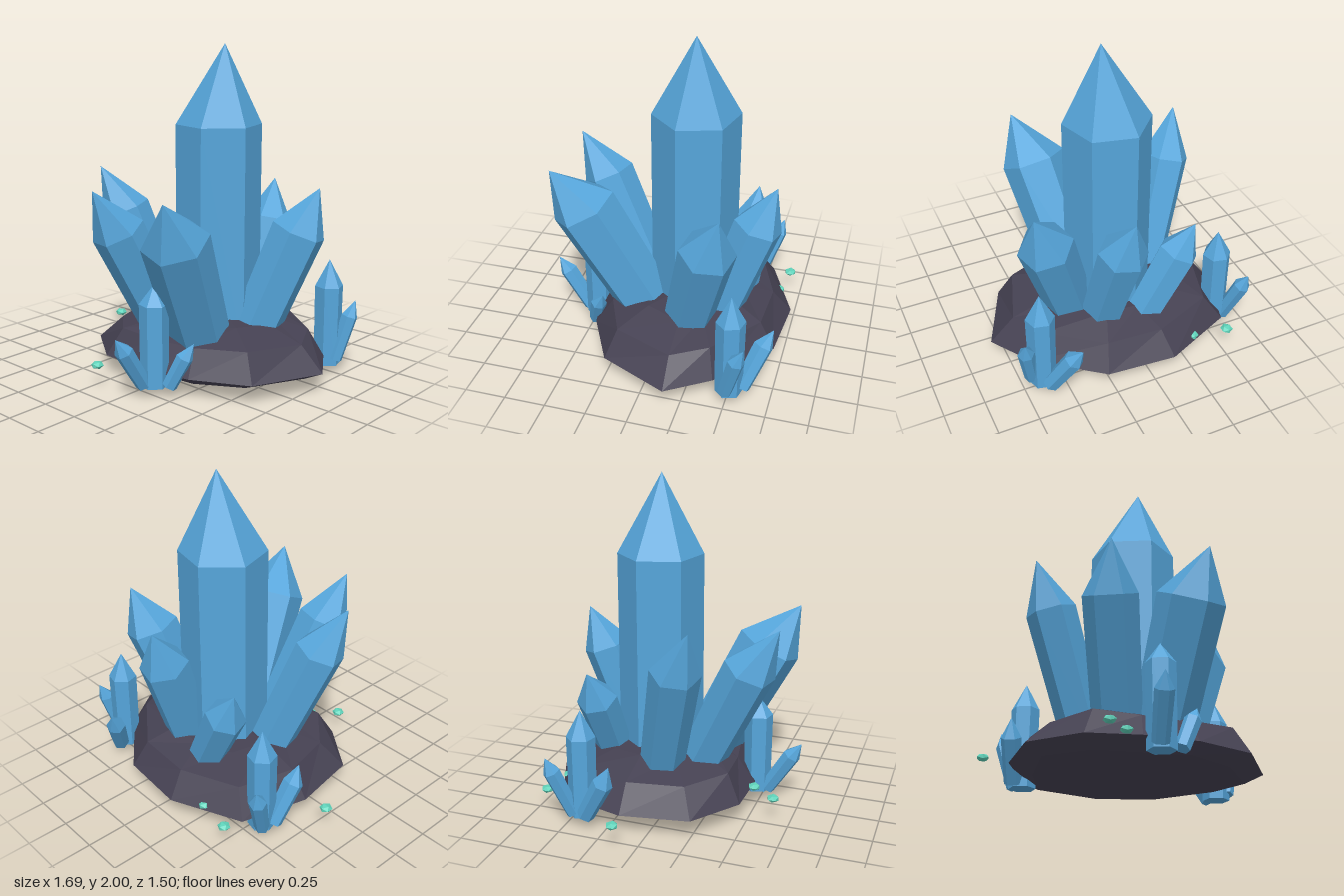
import * as THREE from 'three';

const mat = (name, color) => {
  const m = new THREE.MeshStandardMaterial({ color, flatShading: true });
  m.name = name;
  return m;
};

// Six-sided crystal: straight shaft from foot to shoulder, point pulled to a free tip
function crystal(name, material, foot, shoulder, tip, r, taper = 0.88) {
  const a = new THREE.Vector3(...foot);
  const dir = new THREE.Vector3(...shoulder).sub(a);
  const len = dir.length();
  const q = new THREE.Quaternion().setFromUnitVectors(new THREE.Vector3(0, 1, 0), dir.normalize());
  const apex = new THREE.Vector3(...tip).sub(a).applyQuaternion(q.clone().invert());
  const profile = [[0, 0], [r * taper, 0], [r, len], [0, len + 1]].map(p => new THREE.Vector2(...p));
  const geo = new THREE.LatheGeometry(profile, 6, 0.3);
  const pos = geo.attributes.position;
  for (let i = 3; i < pos.count; i += 4) pos.setXYZ(i, apex.x, apex.y, apex.z);
  geo.computeVertexNormals();
  const mesh = new THREE.Mesh(geo, material);
  mesh.name = name;
  mesh.position.copy(a);
  mesh.quaternion.copy(q);
  return mesh;
}

// Faceted rock: one irregular outline scaled into stacked rings
function rock(material) {
  const cx = 0.07, cz = -0.15;
  const outline = [[-0.13, -0.745], [0.29, -0.71], [0.67, -0.42], [0.84, -0.165], [0.65, 0.25], [0.32, 0.42],
    [0, 0.48], [-0.31, 0.47], [-0.6, 0.26], [-0.67, -0.15], [-0.56, -0.56]];
  const rings = [[0, 0], [0.5, 0.025], [0.84, 0.068], [1, 0.128], [0.83, 0.282], [0.5, 0.345], [0, 0.36]];
  const n = outline.length, verts = [], index = [];
  rings.forEach(([s, y], i) => outline.forEach(([x, z], j) => {
    const bump = s > 0 && s < 1 ? Math.sin(j * 2.4 + i) : 0;
    const k = s * (1 + 0.035 * bump);
    verts.push(cx + (x - cx) * k, y + 0.012 * bump * (i > 3 ? 1 : 0.3), cz + (z - cz) * k);
  }));
  for (let i = 0; i < rings.length - 1; i++) {
    for (let j = 0; j < n; j++) {
      const a = i * n + j, b = i * n + (j + 1) % n, c = a + n, d = b + n;
      if (rings[i][0] > 0) index.push(b, a, c);
      if (rings[i + 1][0] > 0) index.push(b, c, d);
    }
  }
  const geo = new THREE.BufferGeometry();
  geo.setAttribute('position', new THREE.Float32BufferAttribute(verts, 3));
  geo.setIndex(index);
  geo.computeVertexNormals();
  const mesh = new THREE.Mesh(geo, material);
  mesh.name = 'rockBase';
  return mesh;
}

export function createModel() {
  const root = new THREE.Group();
  root.name = 'crystalCluster';
  const blue = mat('crystalBlue', 0x55a5da);
  const stone = mat('darkStone', 0x454152);
  const teal = mat('tealGem', 0x5fd3ba);

  root.add(rock(stone));

  // Large crystals: name, foot, shoulder, tip, radius, taper
  const large = [
    ['mainCrystal', [0.05, 0.15, -0.15], [0.05, 1.52, -0.15], [0.09, 2, -0.155], 0.262, 1],
    ['frontRightCrystal', [-0.07, 0.15, 0.1], [-0.18, 0.93, 0.48], [-0.2, 1.19, 0.655], 0.16],
    ['frontLeftCrystal', [0.15, 0.15, 0.08], [0.28, 0.94, 0.48], [0.355, 1.19, 0.655], 0.2],
    ['rightCrystal', [-0.21, 0.15, -0.07], [-0.48, 0.97, 0.13], [-0.585, 1.24, 0.24], 0.15],
    ['leftCrystal', [0.28, 0.15, -0.15], [0.52, 0.9, -0.34], [0.61, 1.16, -0.42], 0.168],
    ['backCrystal', [0.18, 0.15, -0.3], [0.13, 0.88, -0.55], [0.1, 1.13, -0.65], 0.15],
    ['backRightCrystal', [-0.02, 0.15, -0.41], [-0.29, 0.67, -0.44], [-0.385, 0.86, -0.46], 0.125],
  ];
  // Small upright crystals around the rim
  const rim = [
    ['rightRimCrystal', -0.575, -0.42, 0.71],
    ['leftRimCrystal', 0.635, -0.51, 0.71],
    ['frontRimCrystal', 0.1, 0.47, 0.66],
  ].map(([name, x, z, top]) =>
    [name, [x, 0.05, z], [x, 0.545, z], [x, top, z], 0.087, 0.95]);
  // Shards leaning out beside each rim crystal
  const shards = [
    ['rightShardFront', [-0.63, 0.07, -0.38], [-0.66, 0.31, -0.25], [-0.665, 0.42, -0.21], 0.062],
    ['rightShardBack', [-0.62, 0.07, -0.46], [-0.69, 0.35, -0.56], [-0.71, 0.44, -0.59], 0.052],
    ['leftShardBack', [0.61, 0.07, -0.58], [0.5, 0.31, -0.68], [0.46, 0.4, -0.73], 0.06],
    ['leftShardOuter', [0.7, 0.09, -0.5], [0.75, 0.36, -0.57], [0.765, 0.455, -0.61], 0.05],
    ['frontShardOuter', [0.08, 0.07, 0.54], [0.075, 0.31, 0.69], [0.07, 0.395, 0.75], 0.055],
    ['frontShardSide', [0.21, 0.07, 0.46], [0.285, 0.25, 0.41], [0.32, 0.33, 0.37], 0.05],
  ];
  for (const [name, foot, shoulder, tip, r, taper] of [...large, ...rim, ...shards]) {
    root.add(crystal(name, blue, foot, shoulder, tip, r, taper));
  }

  // Flattened floating gems
  const gems = [[-0.817, -0.13], [-0.2, 0.645], [-0.09, 0.5], [-0.53, -0.675], [-0.31, -0.635]];
  gems.forEach(([x, z], i) => {
    const gem = new THREE.Mesh(new THREE.IcosahedronGeometry(0.039, 0), teal);
    gem.name = 'gem' + (i + 1);
    gem.scale.y = 0.6;
    gem.position.set(x, 0.146, z);
    root.add(gem);
  });
  return root;
}
